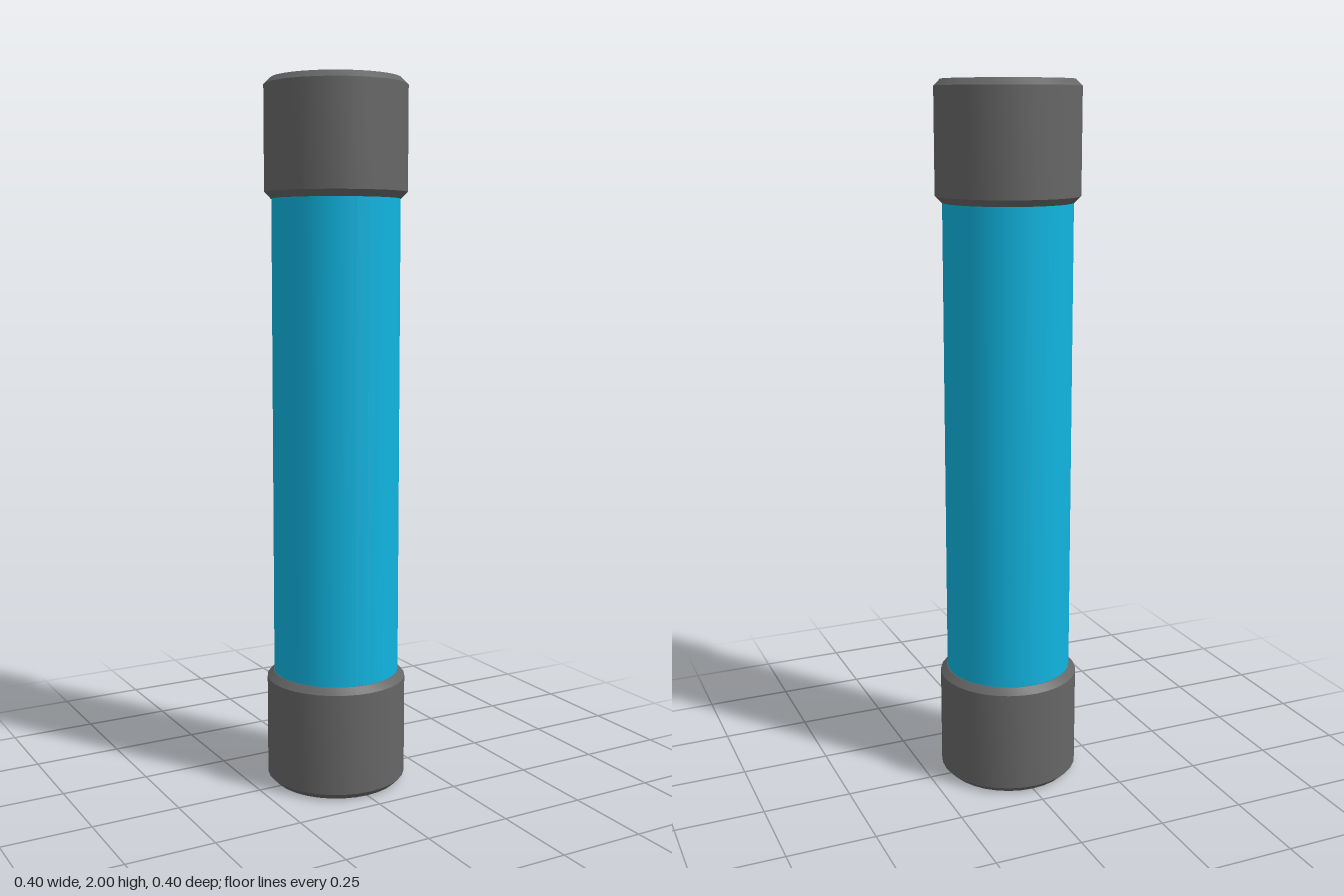
import * as THREE from 'three';
import { toCreasedNormals } from 'three/addons/utils/BufferGeometryUtils.js';

const SEGMENTS = 32;
const TUBE_RADIUS = 0.18;
const CAP_RADIUS = 0.2;
const CAP_HEIGHT = 0.325;
const BEVEL = 0.018;

// Closed cylinder with chamfered rims, standing on y = 0
function bevelledCap() {
  const inner = CAP_RADIUS - BEVEL;
  const profile = [
    [0, 0], [inner, 0], [CAP_RADIUS, BEVEL],
    [CAP_RADIUS, CAP_HEIGHT - BEVEL], [inner, CAP_HEIGHT], [0, CAP_HEIGHT],
  ].map(([r, y]) => new THREE.Vector2(r, y));
  return toCreasedNormals(new THREE.LatheGeometry(profile, SEGMENTS), 0.5);
}

export function createModel() {
  const model = new THREE.Group();
  model.name = 'cappedTube';

  const capMaterial = new THREE.MeshStandardMaterial({ color: 0x666666 });
  const tubeMaterial = new THREE.MeshStandardMaterial({ color: 0x10b4e0 });

  // Coloured body, its ends seated inside the caps
  const tube = new THREE.Mesh(
    new THREE.CylinderGeometry(TUBE_RADIUS, TUBE_RADIUS, 1.9, SEGMENTS),
    tubeMaterial
  );
  tube.name = 'tube';
  tube.position.y = 1;
  model.add(tube);

  // Identical end caps
  const capGeometry = bevelledCap();
  for (const [name, y] of [['bottomCap', 0], ['topCap', 2 - CAP_HEIGHT]]) {
    const cap = new THREE.Mesh(capGeometry, capMaterial);
    cap.name = name;
    cap.position.y = y;
    model.add(cap);
  }

  return model;
}
